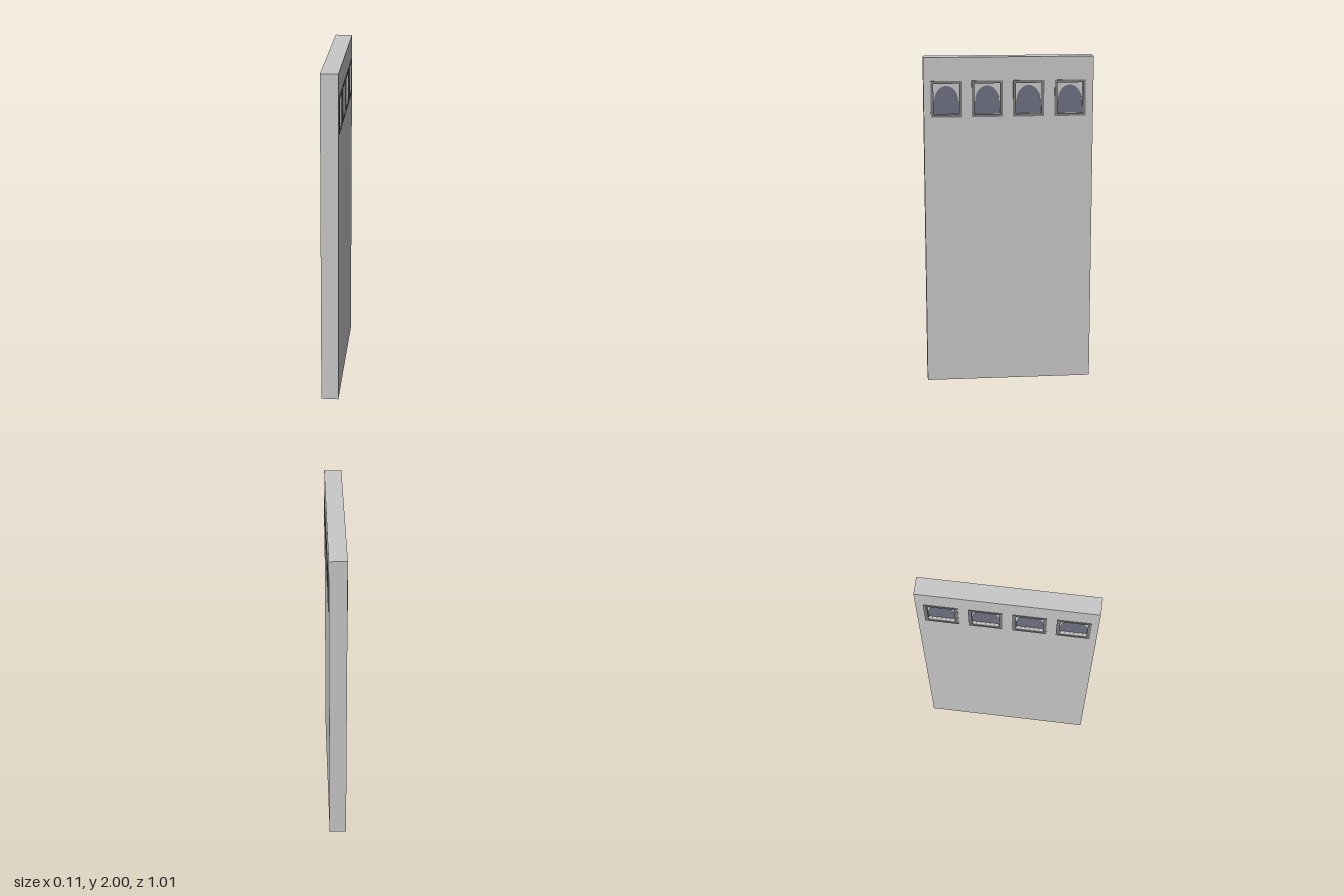
import * as THREE from 'three';

const wallMat = new THREE.MeshStandardMaterial({ color: 0xc9c9c9 });
wallMat.name = 'light grey';
const frameMat = new THREE.MeshStandardMaterial({ color: 0x7c7c7c });
frameMat.name = 'frame grey';
const glassMat = new THREE.MeshStandardMaterial({ color: 0x707382 });
glassMat.name = 'blue grey glass';

const WIN_Z = [0.371, 0.127, -0.119, -0.367];
const WIN_Y = 1.753;
const HALF_W = 0.077, HALF_H = 0.093; // window opening

function rect(Type, u, v, hw, hh) {
  const p = new Type();
  p.moveTo(u - hw, v - hh);
  p.lineTo(u + hw, v - hh);
  p.lineTo(u + hw, v + hh);
  p.lineTo(u - hw, v + hh);
  p.closePath();
  return p;
}

// Extrude an outline drawn in (-z, y) between two x positions
function slab(name, shape, x0, x1, material) {
  const geo = new THREE.ExtrudeGeometry(shape, { depth: x1 - x0, bevelEnabled: false, curveSegments: 20 });
  geo.rotateY(Math.PI / 2);
  geo.translate(x0, 0, 0);
  const mesh = new THREE.Mesh(geo, material);
  mesh.name = name;
  return mesh;
}

// Arched opening: wide foot, small shoulders, rounded head
function archPath() {
  const p = new THREE.Path();
  p.moveTo(-HALF_W + 0.001, -HALF_H + 0.001);
  p.lineTo(HALF_W - 0.001, -HALF_H + 0.001);
  p.lineTo(HALF_W - 0.001, -0.013);
  p.lineTo(0.071, -0.013);
  p.absellipse(0, -0.013, 0.071, 0.09, 0, Math.PI, false, 0);
  p.lineTo(-HALF_W + 0.001, -0.013);
  p.closePath();
  return p;
}

export function createModel() {
  const model = new THREE.Group();
  model.name = 'panelDoor';

  // Door leaf with four openings
  const leaf = rect(THREE.Shape, 0, 1, 0.505, 1);
  for (const z of WIN_Z) leaf.holes.push(rect(THREE.Path, -z, WIN_Y, HALF_W, HALF_H));
  model.add(slab('doorLeaf', leaf, -0.052, 0.05, wallMat));

  for (const z of WIN_Z) {
    const win = new THREE.Group();
    win.name = 'archedWindow';
    win.position.set(0, WIN_Y, z);

    // Arched surround and the glass set behind it
    const surround = rect(THREE.Shape, 0, 0, HALF_W, HALF_H);
    surround.holes.push(archPath());
    win.add(slab('archSurround', surround, -0.039, 0.037, wallMat));
    win.add(slab('glass', rect(THREE.Shape, 0, 0, HALF_W, HALF_H), -0.033, 0.031, glassMat));

    // Raised frame on each face, slightly larger on the -x face
    for (const [x0, x1, hw, hh] of [[0.045, 0.053, 0.0925, 0.108], [-0.055, -0.047, 0.095, 0.111]]) {
      const frame = rect(THREE.Shape, 0, 0, hw, hh);
      frame.holes.push(rect(THREE.Path, 0, 0, HALF_W - 0.001, HALF_H - 0.001));
      win.add(slab('windowFrame', frame, x0, x1, frameMat));
    }
    model.add(win);
  }
  return model;
}
